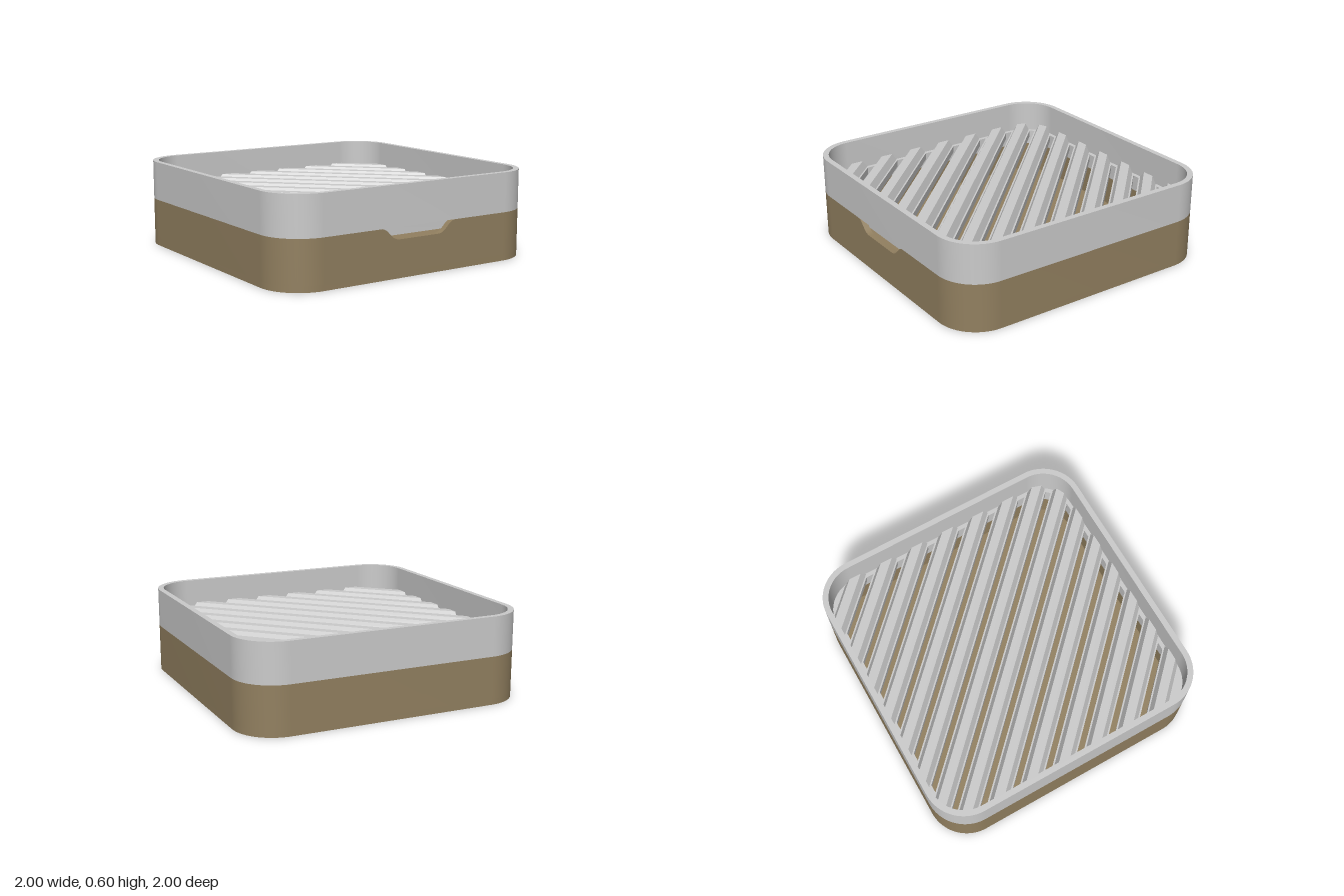
import * as THREE from 'three';
import { toCreasedNormals } from 'three/addons/utils/BufferGeometryUtils.js';

const WALL = 0.04, RADIUS = 0.28, SEAM = 0.33, TOP = 0.6, FLOOR = 0.38, RIDGE_TOP = 0.43;
const PITCH = 0.25;

// Rounded square with half-width h; the corner centres stay fixed, so outlines nest.
function roundedSquare(h, Type = THREE.Shape) {
  const k = 1 - RADIUS, r = h - k, s = new Type();
  s.moveTo(k, -h);
  s.absarc(k, -k, r, -Math.PI / 2, 0);
  s.absarc(k, k, r, 0, Math.PI / 2);
  s.absarc(-k, k, r, Math.PI / 2, Math.PI);
  s.absarc(-k, -k, r, Math.PI, Math.PI * 1.5);
  s.closePath();
  return s;
}

function ring(outer, inner) {
  const s = roundedSquare(outer);
  s.holes.push(roundedSquare(inner, THREE.Path));
  return s;
}

// Extrude a plan shape upwards from y0 to y1.
function slab(shape, y0, y1) {
  const g = new THREE.ExtrudeGeometry(shape, { depth: y1 - y0, bevelEnabled: false, curveSegments: 16 });
  g.rotateX(-Math.PI / 2);
  g.translate(0, y0, 0);
  return toCreasedNormals(g, 0.5);
}

// Half-length of the diagonal x - z = c inside a rounded square of half-width h.
function reach(c, h) {
  const k = 1 - RADIUS;
  let lo = 0, hi = 1.2;
  for (let i = 0; i < 30; i++) {
    const t = (lo + hi) / 2;
    const dx = Math.max(Math.abs(t + c / 2) - k, 0), dz = Math.max(Math.abs(t - c / 2) - k, 0);
    if (Math.hypot(dx, dz) < h - k) lo = t; else hi = t;
  }
  return lo;
}

// Diagonal trapezoid bar whose ends follow the inside wall.
function ridgeGeometry(c) {
  const section = [[-0.085, FLOOR - 0.005], [-0.045, RIDGE_TOP], [0.045, RIDGE_TOP], [0.085, FLOOR - 0.005]];
  const end = (sign) => section.map(([o, y]) => {
    const t = sign * reach(c + o, 0.955);
    return [t + (c + o) / 2, y, t - (c + o) / 2];
  });
  const a = end(-1), b = end(1), pos = [];
  const quad = (p, q, r, s) => pos.push(...p, ...q, ...r, ...p, ...r, ...s);
  for (let i = 0; i < 3; i++) quad(a[i], b[i], b[i + 1], a[i + 1]);
  quad(b[0], b[3], b[2], b[1]);
  quad(a[0], a[1], a[2], a[3]);
  const g = new THREE.BufferGeometry();
  g.setAttribute('position', new THREE.Float32BufferAttribute(pos, 3));
  g.computeVertexNormals();
  return g;
}

export function createModel() {
  const model = new THREE.Group();
  model.name = 'drainingDish';
  const grey = new THREE.MeshStandardMaterial({ color: 0xcbcbcb });
  grey.name = 'light grey';
  const tan = new THREE.MeshStandardMaterial({ color: 0x928060 });
  tan.name = 'tan brown';

  const base = new THREE.Group(), tray = new THREE.Group();
  base.name = 'waterBase';
  tray.name = 'slattedTray';
  model.add(base, tray);
  const add = (parent, name, geometry, material) => {
    const m = new THREE.Mesh(geometry, material);
    m.name = name;
    parent.add(m);
  };

  // Base floor
  add(base, 'baseFloor', slab(roundedSquare(1), 0, WALL), tan);

  // Base wall around the back, sides and corners, open along the straight front
  const k = 1 - RADIUS, ri = RADIUS - WALL, q = Math.PI / 2;
  const wall = new THREE.Shape();
  wall.moveTo(k, -1);
  wall.absarc(k, -k, RADIUS, -q, 0);
  wall.absarc(k, k, RADIUS, 0, q);
  wall.absarc(-k, k, RADIUS, q, 2 * q);
  wall.absarc(-k, -k, RADIUS, 2 * q, 3 * q);
  wall.absarc(-k, -k, ri, 3 * q, 2 * q, true);
  wall.absarc(-k, k, ri, 2 * q, q, true);
  wall.absarc(k, k, ri, q, 0, true);
  wall.absarc(k, -k, ri, 0, -q, true);
  wall.closePath();
  add(base, 'baseWall', slab(wall, WALL, SEAM), tan);

  // Front wall with the pouring notch
  const front = new THREE.Shape();
  front.moveTo(-k, WALL);
  front.lineTo(k, WALL);
  front.lineTo(k, SEAM);
  front.lineTo(0.3, SEAM);
  front.bezierCurveTo(0.23, SEAM, 0.23, 0.25, 0.15, 0.25);
  front.lineTo(-0.15, 0.25);
  front.bezierCurveTo(-0.23, 0.25, -0.23, SEAM, -0.3, SEAM);
  front.lineTo(-k, SEAM);
  front.closePath();
  const frontGeo = new THREE.ExtrudeGeometry(front, { depth: WALL, bevelEnabled: false, curveSegments: 12 });
  frontGeo.translate(0, 0, 1 - WALL);
  add(base, 'frontWallWithSpout', toCreasedNormals(frontGeo, 0.5), tan);

  // Tray rim and the lip that nests inside the base
  add(tray, 'trayRim', slab(ring(1, 1 - WALL), SEAM, TOP), grey);
  add(tray, 'nestingLip', slab(ring(0.955, 0.93), 0.27, SEAM), grey);

  // Tray floor with diagonal drain slots
  const floor = roundedSquare(1 - WALL);
  for (let i = -6; i <= 6; i++) {
    const c = 0.02 + i * PITCH, c0 = c - 0.028, c1 = c + 0.028;
    const t0 = reach(c0, 0.93), t1 = reach(c1, 0.93);
    const corners = [[c0, -t0], [c0, t0], [c1, t1], [c1, -t1]];
    floor.holes.push(new THREE.Path(corners.map(([d, t]) => new THREE.Vector2(t + d / 2, d / 2 - t))));
  }
  add(tray, 'slottedFloor', slab(floor, SEAM, FLOOR), grey);

  // Raised ridges between the slots
  for (let i = -7; i <= 6; i++) {
    add(tray, 'ridge', ridgeGeometry(0.145 + i * PITCH), grey);
  }
  return model;
}
